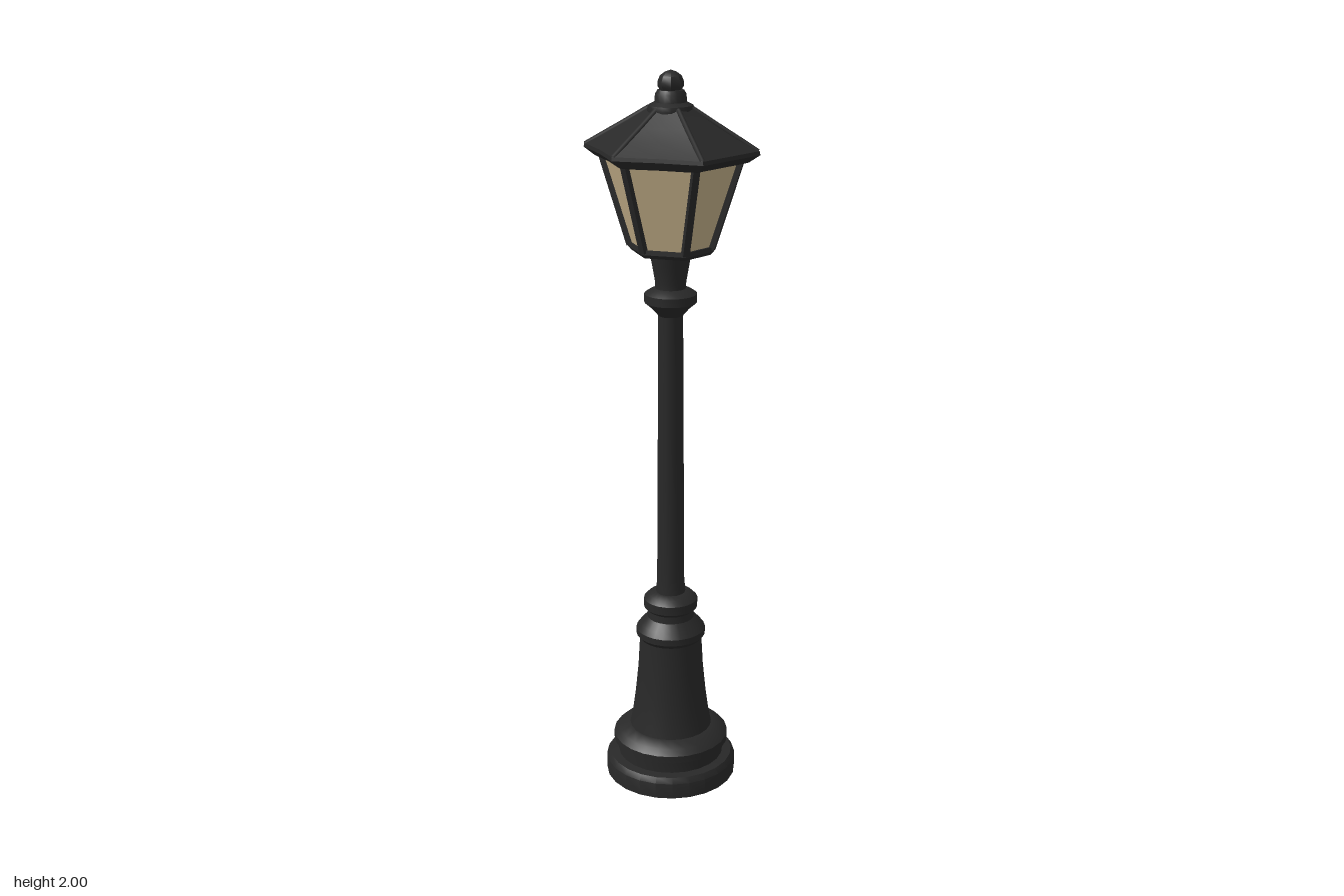
import * as THREE from 'three';
import { toCreasedNormals } from 'three/addons/utils/BufferGeometryUtils.js';

const Z_STRETCH = 1.13; // the lantern is a little deeper than a regular hexagon

export function createModel() {
  const iron = new THREE.MeshStandardMaterial({ color: 0x282828 });
  iron.name = 'blackIron';
  const glass = new THREE.MeshStandardMaterial({ color: 0xc2ae88, side: THREE.DoubleSide });
  glass.name = 'warmGlass';
  const model = new THREE.Group();
  model.name = 'streetLamp';

  const add = (name, geometry, material = iron, parent = model) => {
    const mesh = new THREE.Mesh(geometry, material);
    mesh.name = name;
    parent.add(mesh);
    return mesh;
  };
  const turned = (profile, sides = 24, crease = 0.6) => toCreasedNormals(
    new THREE.LatheGeometry(profile.map(([r, y]) => new THREE.Vector2(r, y)), sides), crease);

  // Six-sided shell with corners on the x axis; pull draws the side edges inwards
  const hexShell = (profile, pull = 1) => {
    const g = new THREE.LatheGeometry(
      profile.map(([r, y]) => new THREE.Vector2(r, y)), 12, Math.PI / 2);
    const p = g.attributes.position;
    for (let i = 0; i < p.count; i++) {
      const step = Math.floor(i / profile.length);
      let k = 1;
      if (step % 2) k = Math.cos(Math.PI / 6) * (step % 6 === 3 ? 1 : pull);
      p.setXYZ(i, p.getX(i) * k, p.getY(i), p.getZ(i) * k * Z_STRETCH);
    }
    return toCreasedNormals(g, 0.3);
  };
  const corner = (r, y, i) => new THREE.Vector3(
    r * Math.cos(i * Math.PI / 3), y, r * Math.sin(i * Math.PI / 3) * Z_STRETCH);

  // Pedestal
  add('plinth', turned([[0, 0], [0.185, 0], [0.185, 0.045], [0.175, 0.06], [0.15, 0.062],
    [0.15, 0.095], [0.163, 0.1], [0.163, 0.12], [0.148, 0.135], [0.118, 0.148], [0, 0.148]]));
  add('pedestal', turned([[0.118, 0.14], [0.108, 0.19], [0.1, 0.25], [0.092, 0.33],
    [0.087, 0.42], [0.097, 0.432], [0.097, 0.45], [0.086, 0.465], [0.066, 0.485],
    [0.064, 0.505], [0.075, 0.515], [0.075, 0.54], [0.062, 0.553], [0.042, 0.56], [0, 0.56]]));

  // Post, collar and lantern socket
  add('post', turned([[0.042, 0.55], [0.038, 0.6], [0.036, 0.9], [0.033, 1.37], [0, 1.37]], 16));
  add('collar', turned([[0.033, 1.36], [0.05, 1.38], [0.07, 1.397], [0.07, 1.42],
    [0.055, 1.43], [0.041, 1.435], [0.041, 1.45], [0.048, 1.49], [0.056, 1.535], [0, 1.535]]));

  // Lantern
  const lantern = new THREE.Group();
  lantern.name = 'lantern';
  model.add(lantern);
  add('lanternFloor', hexShell([[0, 1.53], [0.098, 1.53], [0.107, 1.54], [0.106, 1.552], [0, 1.552]]),
    iron, lantern);
  add('glassPanes', hexShell([[0.1, 1.55], [0.168, 1.78]]), glass, lantern);
  for (let i = 0; i < 6; i++) {
    const a = corner(0.1, 1.545, i), b = corner(0.17, 1.785, i);
    const bar = add('cornerBar', new THREE.BoxGeometry(0.018, 0.018, a.distanceTo(b)), iron, lantern);
    bar.position.lerpVectors(a, b, 0.5);
    bar.lookAt(b);
  }

  // Flared roof with a raised ridge along every hip
  add('roof', hexShell([[0, 1.785], [0.165, 1.785], [0.172, 1.77], [0.188, 1.775], [0.215, 1.795],
    [0.213, 1.805], [0.165, 1.832], [0.11, 1.867], [0.055, 1.905], [0, 1.905]], 0.97), iron, lantern);
  for (let i = 0; i < 6; i++) {
    const path = new THREE.CatmullRomCurve3([[0.21, 1.803], [0.165, 1.832], [0.11, 1.867],
      [0.052, 1.905]].map(([r, y]) => corner(r, y, i)));
    add('roofRidge', new THREE.TubeGeometry(path, 8, 0.007, 6), iron, lantern);
  }

  // Roof cap and finial
  add('roofCap', turned([[0.058, 1.885], [0.061, 1.9], [0.058, 1.912], [0.042, 1.92],
    [0.04, 1.94], [0.034, 1.95], [0, 1.95]], 16));
  add('finial', turned([[0.024, 1.945], [0.033, 1.958], [0.034, 1.97], [0.028, 1.985],
    [0.015, 1.995], [0, 2]], 8));
  return model;
}
